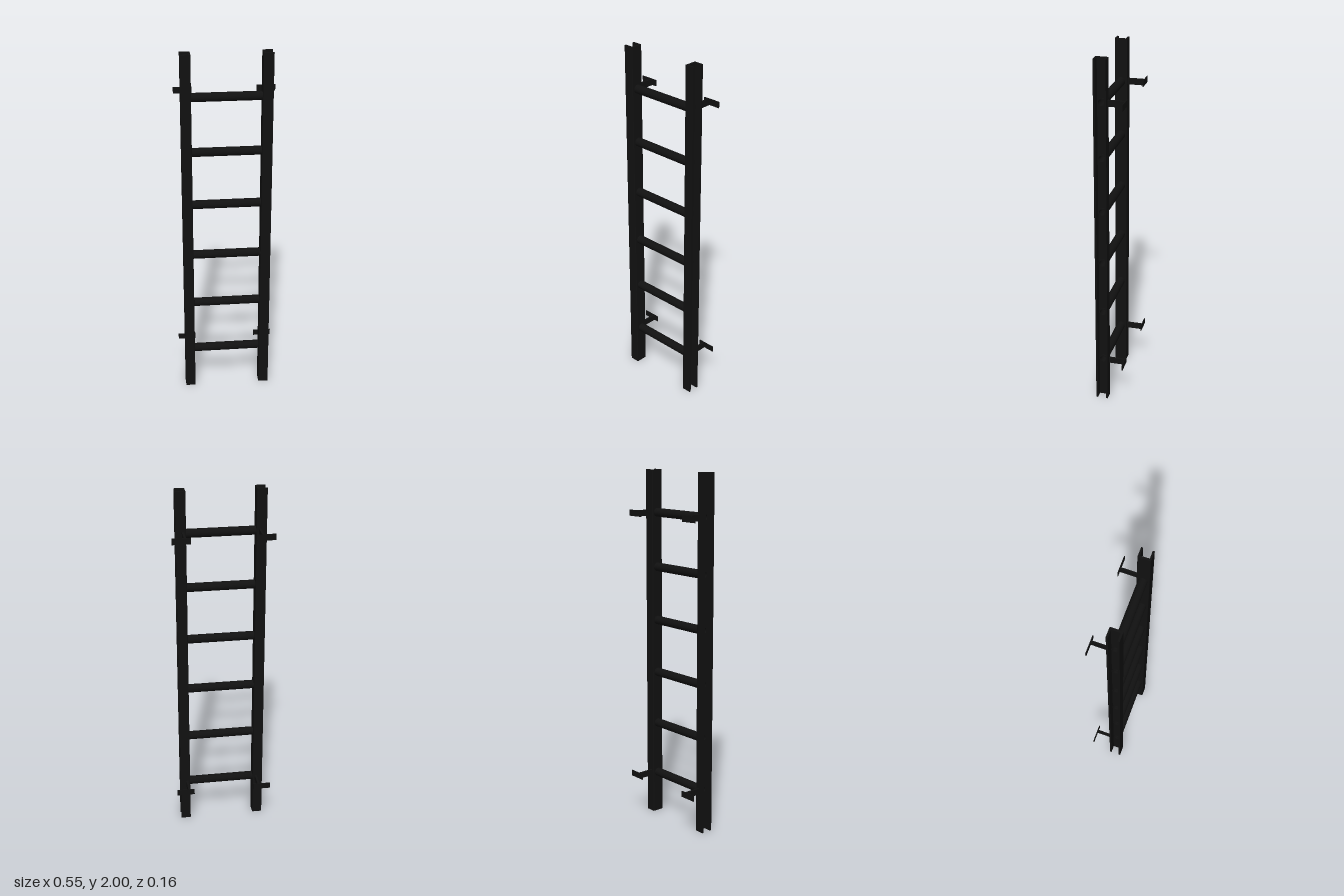
import * as THREE from 'three';

const HEIGHT = 2;
const ZC = 0.047;          // centre plane of rails and rungs
const HALF = 0.034;        // half depth of a rail
const INNER = 0.187, WEB = 0.012, OUTER = 0.242, FLANGE = 0.01;
const TUBE_OUT = 0.024, TUBE_IN = 0.018;
const RUNGS = Array.from({ length: 6 }, (_, i) => 0.24 + i * 0.305);

export function createModel() {
  const group = new THREE.Group();
  const mat = new THREE.MeshStandardMaterial({ color: 0x111111 });
  const add = (parent, geo, name, x = 0, y = 0, z = 0) => {
    const m = new THREE.Mesh(geo, mat);
    m.name = name;
    m.position.set(x, y, z);
    parent.add(m);
    return m;
  };

  // Channel web with a round hole at every rung
  const webShape = new THREE.Shape();
  const w = HALF - FLANGE;
  webShape.moveTo(-w, 0).lineTo(w, 0).lineTo(w, HEIGHT).lineTo(-w, HEIGHT).closePath();
  for (const y of RUNGS) {
    webShape.holes.push(new THREE.Path().absarc(0, y, TUBE_OUT - 0.002, 0, Math.PI * 2, true));
  }
  const webGeo = new THREE.ExtrudeGeometry(webShape, { depth: WEB, bevelEnabled: false, curveSegments: 16 });
  webGeo.rotateY(-Math.PI / 2);

  // Channel flange with a softened inner corner
  const flangeShape = new THREE.Shape();
  flangeShape.moveTo(INNER, w).lineTo(OUTER, w).lineTo(OUTER, HALF).lineTo(INNER + 0.004, HALF);
  flangeShape.quadraticCurveTo(INNER, HALF, INNER, HALF - 0.004);
  flangeShape.closePath();
  const backFlange = new THREE.ExtrudeGeometry(flangeShape, { depth: HEIGHT, bevelEnabled: false, curveSegments: 4 });
  backFlange.rotateX(-Math.PI / 2);
  // Turn the same section over for the front flange
  const frontFlange = backFlange.clone().rotateX(Math.PI).translate(0, HEIGHT, 0);

  // Open channel rails, facing outward
  for (const side of [1, -1]) {
    const rail = new THREE.Group();
    rail.name = side > 0 ? 'leftRail' : 'rightRail';
    rail.position.z = ZC;
    if (side < 0) rail.rotation.y = Math.PI;
    add(rail, webGeo, 'web', INNER + WEB);
    add(rail, backFlange, 'backFlange');
    add(rail, frontFlange, 'frontFlange');
    group.add(rail);
  }

  // Hollow rungs passing through the rails
  const L = 0.205;
  const wall = [[TUBE_OUT, -L], [TUBE_OUT, L], [TUBE_IN, L], [TUBE_IN, -L]];
  const faces = wall.map((p, i) => {
    const q = wall[(i + 1) % 4];
    const g = new THREE.LatheGeometry([new THREE.Vector2(...p), new THREE.Vector2(...q)], 32);
    return g.rotateZ(Math.PI / 2);
  });
  RUNGS.forEach((y) => {
    const rung = new THREE.Group();
    rung.name = 'rung';
    rung.position.set(0, y, ZC);
    faces.forEach((g, i) => add(rung, g, ['outerWall', 'endRim', 'bore', 'endRim'][i]));
    group.add(rung);
  });

  // Wall brackets: a standoff arm and a thin fixing plate
  const BACK = -0.082, H = 0.034;
  const armEnd = ZC - HALF + 0.003;
  for (const y of [RUNGS[0], RUNGS[5]]) {
    for (const side of [1, -1]) {
      const bracket = new THREE.Group();
      bracket.name = 'wallBracket';
      bracket.position.set(side * 0.2045, y, 0);
      add(bracket, new THREE.BoxGeometry(0.011, H, armEnd - BACK), 'arm', 0, 0, (armEnd + BACK) / 2);
      add(bracket, new THREE.BoxGeometry(0.1, H, 0.004), 'fixingPlate', side * 0.0185, 0, BACK + 0.002);
      group.add(bracket);
    }
  }
  return group;
}
